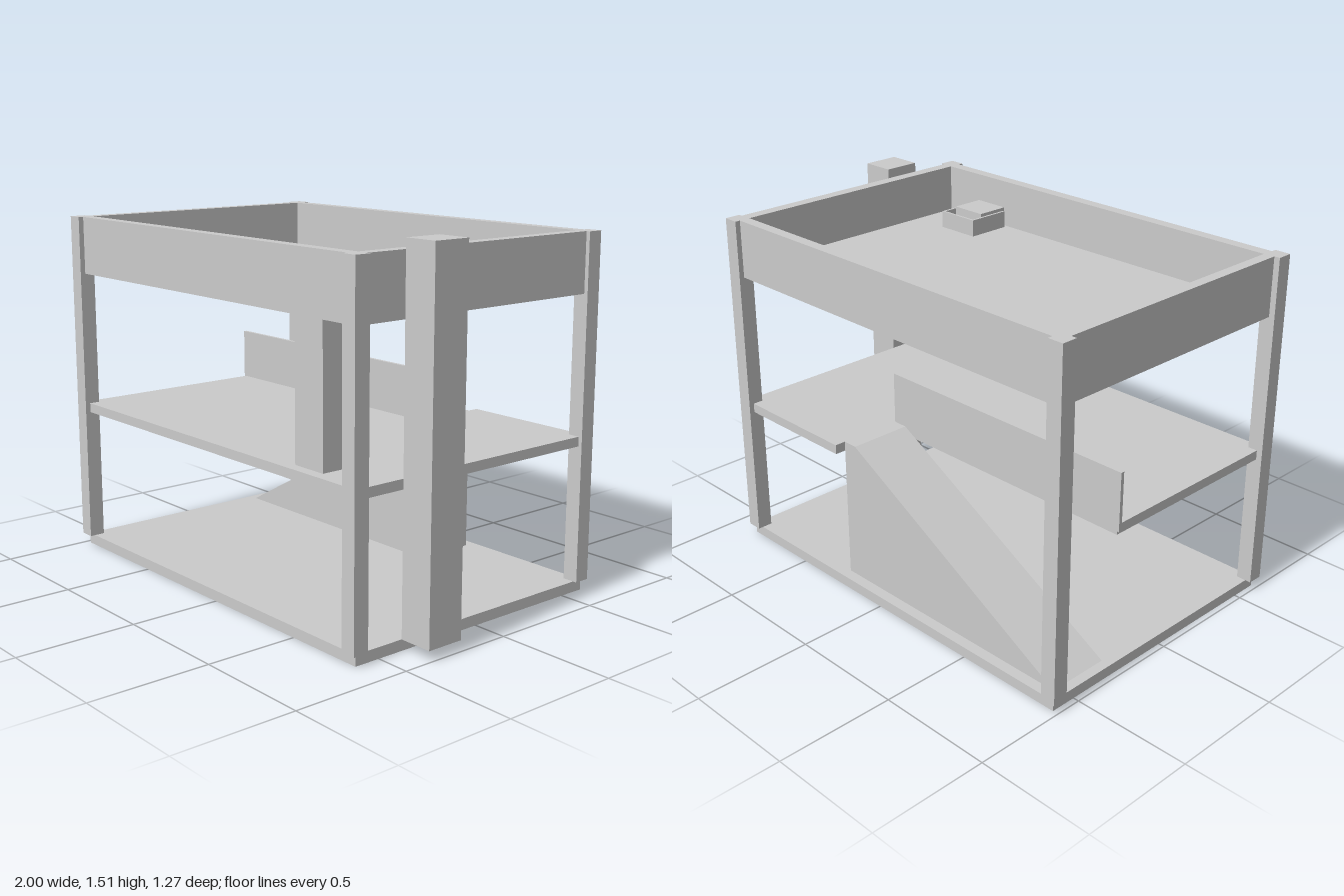
import * as THREE from 'three';

export function createModel() {
  const group = new THREE.Group();
  const mat = new THREE.MeshStandardMaterial({ color: 0xcccccc, flatShading: true });

  const add = (name, geometry) => {
    const mesh = new THREE.Mesh(geometry, mat);
    mesh.name = name;
    group.add(mesh);
    return mesh;
  };

  // Box given by its limits on each axis
  const block = (name, [x0, x1], [y0, y1], [z0, z1]) =>
    add(name, new THREE.BoxGeometry(x1 - x0, y1 - y0, z1 - z0))
      .position.set((x0 + x1) / 2, (y0 + y1) / 2, (z0 + z1) / 2);

  const toPoints = (list) => list.map(([x, z]) => new THREE.Vector2(x, -z));
  const rect = (x0, x1, z0, z1) => [[x0, z0], [x0, z1], [x1, z1], [x1, z0]];

  // Horizontal plate from an x/z outline with an optional hole
  const plate = (name, outline, y0, y1, hole) => {
    const shape = new THREE.Shape(toPoints(outline));
    if (hole) shape.holes.push(new THREE.Path(toPoints(hole)));
    const geo = new THREE.ExtrudeGeometry(shape, { depth: y1 - y0, bevelEnabled: false });
    add(name, geo.rotateX(-Math.PI / 2)).position.y = y0;
  };

  const L = -0.975, R = 0.855, Z = 0.612;

  // Ground slab
  block('baseSlab', [L, R], [0, 0.045], [-Z, Z]);

  // Corner posts
  for (const x of [[-1, -0.933], [0.805, 0.872]])
    for (const z of [[0.567, 0.634], [-0.634, -0.567]])
      block('cornerPost', x, [0.045, 1.475], z);

  // Middle floor, cut away at the back over the ramp
  plate('middleFloor',
    [[L, Z], [R, Z], [R, -Z], [0.245, -Z], [0.245, -0.29], [L, -0.29]], 0.615, 0.655);

  // Guard wall beside the ramp opening
  block('rampGuard', [-0.985, 0.248], [0.63, 0.873], [-0.291, -0.276]);

  // Solid ramp with a short landing at the top
  const side = new THREE.Shape([
    [-0.933, 0.045], [0.245, 0.045], [0.245, 0.655], [0.18, 0.655],
  ].map(([x, y]) => new THREE.Vector2(x, y)));
  add('ramp', new THREE.ExtrudeGeometry(side, { depth: 0.27, bevelEnabled: false }))
    .position.z = -0.565;

  // Roof deck with a hatch opening, and the parapet around it
  plate('roofDeck', rect(-0.93, 0.805, -0.565, 0.563), 1.23, 1.272,
    rect(0.45, 0.625, 0.36, 0.555));
  plate('parapet', rect(L, R, -Z, Z), 1.23, 1.475, rect(-0.93, 0.805, -0.565, 0.563));

  // Inner shaft rising through the hatch
  block('innerShaft', [0.46, 0.62], [0.655, 1.355], [0.418, 0.566]);

  // Thin three-sided curb around the hatch
  plate('hatchCurb', [
    [0.44, 0.545], [0.45, 0.545], [0.45, 0.36], [0.625, 0.36],
    [0.625, 0.545], [0.635, 0.545], [0.635, 0.35], [0.44, 0.35],
  ], 1.272, 1.345);

  // Tall outer shaft on the left side
  block('outerShaft', [R, 1], [0.045, 1.515], [0.228, 0.388]);

  return group;
}
